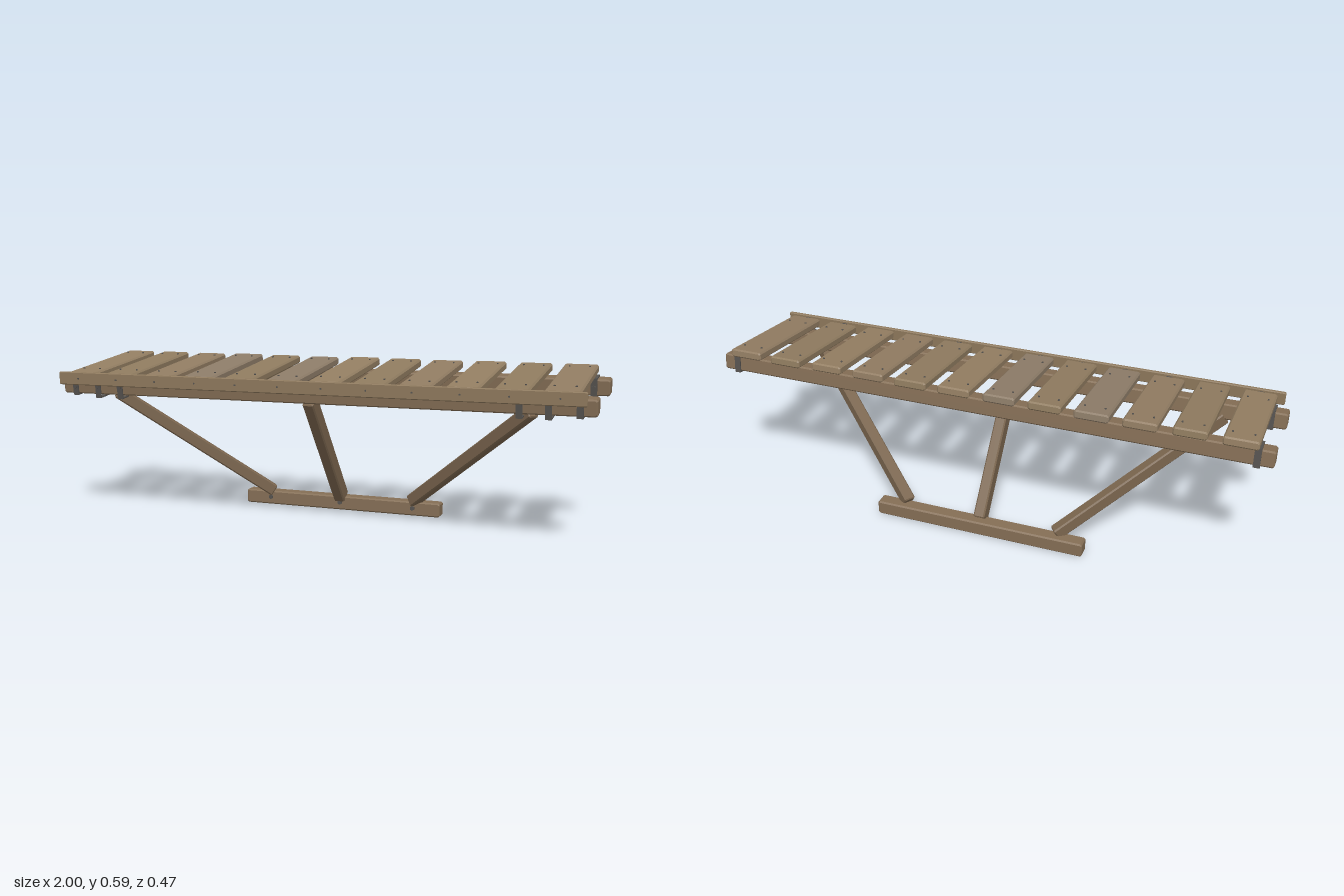
import * as THREE from 'three';

const TILT = 0.118; // slope of the deck, lower at the front

const material = (color) => new THREE.MeshStandardMaterial({ color, flatShading: true });
const beamWood = material(0x846e55);
const strutWood = material(0x7a654e);
const fasciaWood = material(0x8c775b);
const plankWoods = [0x937e62, 0x8f7b5f, 0x917c62, 0x8d7c68].map(material);
const iron = material(0x55524f);

// Timber with cut edges, long or short along any axis, centred on its origin
function timber(w, h, d, b = 0.005) {
  const x = w / 2 - b, y = h / 2 - b, c = b * 0.6;
  const shape = new THREE.Shape([
    [x - c, -y], [x, -y + c], [x, y - c], [x - c, y],
    [-x + c, y], [-x, y - c], [-x, -y + c], [-x + c, -y],
  ].map(([px, py]) => new THREE.Vector2(px, py)));
  const g = new THREE.ExtrudeGeometry(shape, {
    depth: d - 2 * b, bevelEnabled: true, bevelThickness: b, bevelSize: b, bevelSegments: 1,
  });
  return g.translate(0, 0, -(d - 2 * b) / 2);
}

function add(parent, name, geometry, mat, x = 0, y = 0, z = 0) {
  const mesh = new THREE.Mesh(geometry, mat);
  mesh.name = name;
  mesh.position.set(x, y, z);
  parent.add(mesh);
  return mesh;
}

function addGroup(parent, name, x = 0, y = 0, z = 0) {
  const group = new THREE.Group();
  group.name = name;
  group.position.set(x, y, z);
  parent.add(group);
  return group;
}

const boltGeometry = new THREE.CylinderGeometry(0.009, 0.009, 0.008, 6).rotateX(Math.PI / 2);
const nailGeometry = new THREE.CylinderGeometry(0.0035, 0.0035, 0.004, 6);

// Thin iron band wrapped around a beam of the given size
function addStrap(parent, x, size) {
  const strap = addGroup(parent, 'beamStrap', x);
  const t = 0.005, w = 0.022, r = size / 2 + t / 2;
  for (const s of [-1, 1]) {
    add(strap, 'strapSide', new THREE.BoxGeometry(w, size + 2 * t, t), iron, 0, 0, s * r);
    add(strap, 'strapBand', new THREE.BoxGeometry(w, t, size), iron, 0, s * r, 0);
  }
  add(strap, 'strapBolt', boltGeometry, iron, 0, 0, r + 0.005);
}

// Angle plate on the front and underside of the front beam
function addAngle(parent, x, size) {
  const angle = addGroup(parent, 'angleBracket', x);
  const r = size / 2 + 0.005;
  add(angle, 'anglePlate', new THREE.BoxGeometry(0.022, size + 0.012, 0.005), iron, 0, -0.007, r);
  add(angle, 'angleFoot', new THREE.BoxGeometry(0.022, 0.005, size + 0.016), iron, 0, -r - 0.005, -0.002);
  add(angle, 'angleBolt', boltGeometry, iron, 0, 0.005, r + 0.005);
}

function addStrut(parent, name, from, to, w, h) {
  const a = new THREE.Vector3(...from), b = new THREE.Vector3(...to);
  const strut = add(parent, name, timber(w, h, a.distanceTo(b), 0.004), strutWood);
  strut.position.copy(a).add(b).multiplyScalar(0.5);
  strut.lookAt(b);
}

export function createModel() {
  const root = new THREE.Group();
  root.name = 'plankPlatform';

  // Long beams under the deck, tipped with its slope
  const size = 0.058;
  for (const [name, y, z] of [['frontBeam', 0.483, 0.142], ['rearBeam', 0.517, -0.177]]) {
    const beam = addGroup(root, name, 0, y, z);
    beam.rotation.x = TILT;
    add(beam, 'beamTimber', timber(2, size, size), beamWood);
    for (const s of [-1, 1]) {
      addStrap(beam, s * 0.945, size);
      if (name === 'frontBeam') for (const x of [0.845, 0.75]) addAngle(beam, s * x, size);
    }
  }

  // Deck of planks with small differences in size and seat, each nailed to both beams
  const deck = addGroup(root, 'deck', 0, 0.5475, -0.01);
  deck.rotation.x = TILT;
  for (let i = 0; i < 12; i++) {
    const plank = addGroup(deck, 'plank', -0.891 + i * 0.162, 0.001 * Math.sin(i * 2.3), 0.003 * Math.sin(i * 1.7));
    plank.rotation.y = 0.008 * Math.sin(i * 3.1);
    const shade = i === 3 || i === 5 ? 3 : i % 3;
    add(plank, 'plankBoard', timber(0.116 + 0.003 * Math.sin(i * 4.7), 0.03, 0.445), plankWoods[shade]);
    for (const x of [-0.035, 0.035])
      for (const z of [0.15, -0.17]) add(plank, 'nail', nailGeometry, iron, x, 0.0165, z);
  }

  // Front edge board and the nails that hold it
  add(root, 'edgeBoard', timber(1.95, 0.048, 0.014, 0.003), fasciaWood, 0, 0.515, 0.229);
  for (let i = 0; i < 12; i++) {
    const x = -0.891 + i * 0.162;
    add(root, 'edgeSpacer', new THREE.BoxGeometry(0.02, 0.02, 0.014), iron, x, 0.521, 0.217);
    add(root, 'edgeNail', nailGeometry, iron, x, 0.515, 0.236).rotation.x = Math.PI / 2;
  }

  // Low sill at the back and the struts leaning from it to the front beam
  add(root, 'sill', timber(0.79, 0.053, 0.053), beamWood, 0, 0.0275, -0.204);
  addStrut(root, 'middleStrut', [0, 0.05, -0.192], [0, 0.462, 0.134], 0.042, 0.055);
  for (const s of [-1, 1])
    addStrut(root, s > 0 ? 'leftStrut' : 'rightStrut', [s * 0.285, 0.055, -0.192], [s * 0.785, 0.46, 0.134], 0.042, 0.045);
  for (const x of [-0.29, 0, 0.29]) add(root, 'sillBolt', boltGeometry, iron, x, 0.03, -0.175);

  return root;
}
